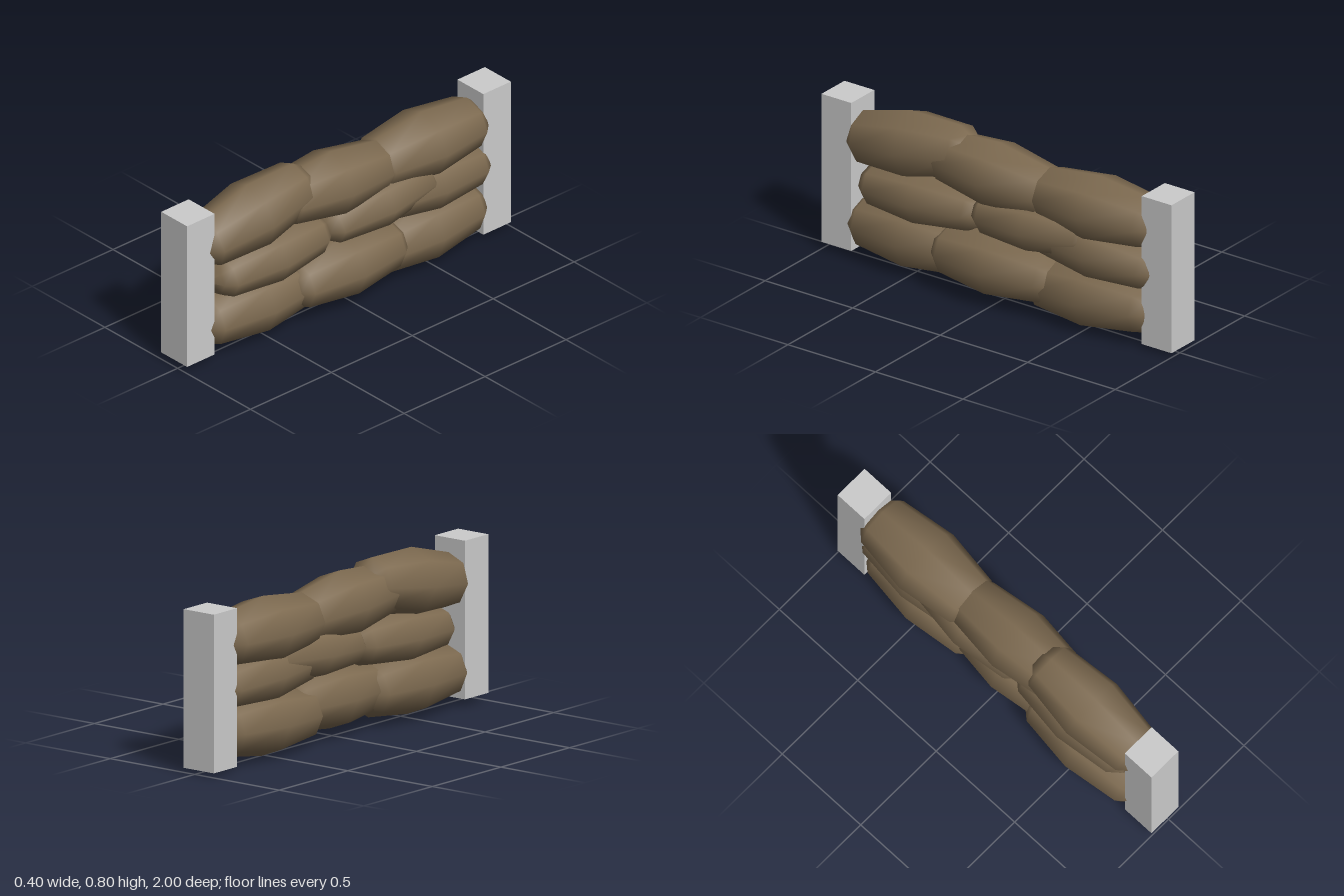
import * as THREE from 'three';

const clothMaterial = new THREE.MeshStandardMaterial({ color: 0x7d6a50 });
const postMaterial = new THREE.MeshStandardMaterial({ color: 0xcccccc });

// Plump eight-sided sack lying along z, with blunt ends
function createBagGeometry() {
  const profile = [
    [0, -0.37], [0.52, -0.33], [0.78, -0.28], [1, 0],
    [0.78, 0.28], [0.52, 0.33], [0, 0.37],
  ].map(([r, l]) => new THREE.Vector2(r, l));
  return new THREE.LatheGeometry(profile, 8).rotateX(Math.PI / 2);
}

// Bags by row: x, y, z, half width, half height, tilt about x
const rows = {
  bottom: [
    [-0.02, 0.175, 0.52, 0.167, 0.16, 0],
    [0.025, 0.19, 0.01, 0.172, 0.157, 0],
    [-0.005, 0.165, -0.51, 0.165, 0.16, 0.03],
  ],
  middle: [
    [-0.006, 0.4, 0.45, 0.164, 0.135, 0.03],
    [-0.004, 0.44, -0.2, 0.174, 0.13, 0.06],
    [-0.01, 0.4, -0.54, 0.16, 0.14, -0.05],
  ],
  top: [
    [-0.02, 0.635, 0.53, 0.167, 0.165, 0.14],
    [-0.012, 0.62, 0.05, 0.17, 0.16, -0.06],
    [-0.02, 0.605, -0.525, 0.18, 0.16, 0],
  ],
};

export function createModel() {
  const model = new THREE.Group();
  model.name = 'sandbagWall';

  // Stacked sandbags
  const bagGeometry = createBagGeometry();
  for (const [rowName, bags] of Object.entries(rows)) {
    const row = new THREE.Group();
    row.name = `${rowName}Row`;
    bags.forEach(([x, y, z, width, height, tilt], i) => {
      const bag = new THREE.Mesh(bagGeometry, clothMaterial);
      bag.name = `${rowName}Sandbag${i + 1}`;
      bag.position.set(x, y, z);
      bag.scale.set(width, height, 1);
      bag.rotation.x = tilt;
      row.add(bag);
    });
    model.add(row);
  }

  // Square posts at both ends
  const postGeometry = new THREE.BoxGeometry(0.178, 0.749, 0.17);
  for (const [name, y, z] of [['frontPost', 0.415, 0.915], ['backPost', 0.401, -0.915]]) {
    const post = new THREE.Mesh(postGeometry, postMaterial);
    post.name = name;
    post.position.set(-0.024, y, z);
    model.add(post);
  }
  return model;
}
